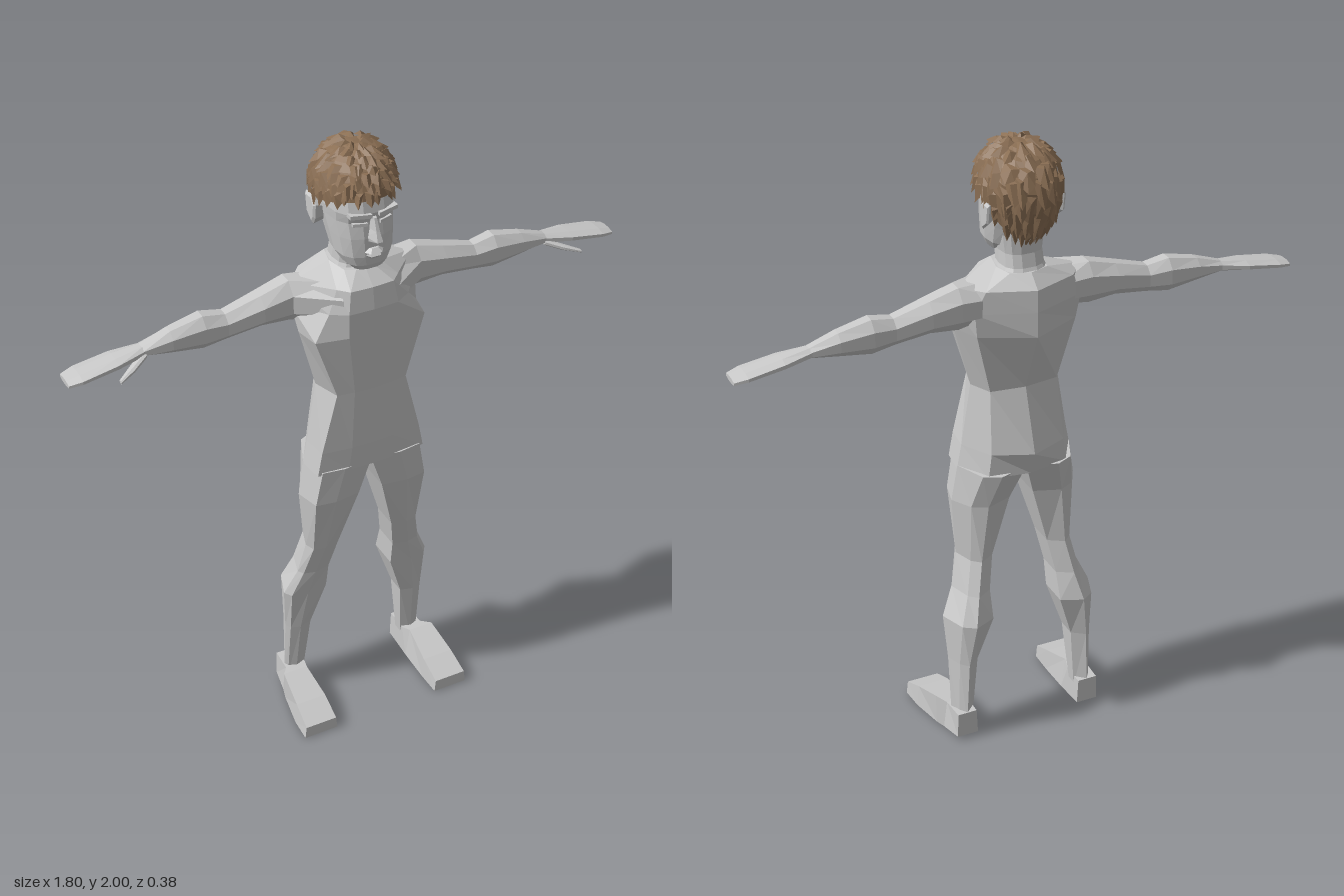
import * as THREE from 'three';

const skin = new THREE.MeshStandardMaterial({ color: 0xc9c9c9 });
skin.name = 'light grey skin';
const brown = new THREE.MeshStandardMaterial({ color: 0x8b6f54, side: THREE.DoubleSide });
brown.name = 'brown hair';

// Flat-shaded geometry from a list of triangles
function facets(tris) {
  const g = new THREE.BufferGeometry();
  g.setAttribute('position', new THREE.Float32BufferAttribute(tris.flat(2), 3));
  g.computeVertexNormals();
  return g;
}

// Closed skin over a row of rings, always wound outwards
function loft(rings) {
  const tris = [];
  const n = rings[0].length;
  for (let r = 0; r + 1 < rings.length; r++) {
    for (let i = 0; i < n; i++) {
      const j = (i + 1) % n, a = rings[r], b = rings[r + 1];
      tris.push([a[i], a[j], b[j]], [a[i], b[j], b[i]]);
    }
  }
  const cap = (ring, flip) => {
    const c = [0, 1, 2].map(k => ring.reduce((s, p) => s + p[k], 0) / n);
    ring.forEach((p, i) => {
      const q = ring[(i + 1) % n];
      tris.push(flip ? [c, q, p] : [c, p, q]);
    });
  };
  cap(rings[0], true);
  cap(rings[rings.length - 1], false);
  const o = rings[0][0];
  let volume = 0;
  for (const t of tris) {
    const [a, b, c] = t.map(p => new THREE.Vector3(p[0] - o[0], p[1] - o[1], p[2] - o[2]));
    volume += a.dot(b.cross(c));
  }
  return facets(volume < 0 ? tris.map(([a, b, c]) => [a, c, b]) : tris);
}

const mirrored = rings => rings.map(ring => ring.map(([x, y, z]) => [-x, y, z]));

export function createModel() {
  const model = new THREE.Group();
  model.name = 'figure';
  const add = (name, geometry, material = skin) => {
    const mesh = new THREE.Mesh(geometry, material);
    mesh.name = name;
    model.add(mesh);
    return mesh;
  };
  const addPair = (name, rings) => {
    add('left' + name, loft(rings));
    add('right' + name, loft(mirrored(rings)));
  };

  // Torso: y, front z, front x, edge x, edge z, side x, side z, rear x, rear z, spine z
  const torso = [
    [1.61, 0.05, 0.03, 0.06, 0.03, 0.075, -0.04, 0.06, -0.1, -0.12],
    [1.57, 0.095, 0.07, 0.1, 0.06, 0.2, -0.04, 0.14, -0.11, -0.163],
    [1.5, 0.105, 0.08, 0.13, 0.07, 0.205, -0.03, 0.17, -0.1, -0.165],
    [1.42, 0.105, 0.08, 0.18, 0.08, 0.195, 0, 0.16, -0.09, -0.165],
    [1.22, 0.1, 0.06, 0.115, 0.088, 0.143, 0, 0.11, -0.07, -0.085],
    [1.02, 0.102, 0.07, 0.165, 0.085, 0.175, 0, 0.12, -0.1, -0.15],
    [0.94, 0.1, 0.08, 0.18, 0.085, 0.19, 0, 0.13, -0.1, -0.12],
  ].map(([y, zf, xf, xe, ze, xs, zs, xb, zr, zb]) => {
    const half = [[xf, y, zf - 0.004], [xe, y, ze], [xs, y, zs], [xb, y, zr]];
    const other = half.map(([x, , z]) => [-x, y, z]).reverse();
    return [[0, y, zf], ...half, [0, y, zb], ...other];
  });
  add('torso', loft(torso));

  // Legs: y, inner x, outer x, front z, side z, back z
  addPair('Leg', [
    [0.95, 0, 0.189, 0.1, 0, -0.122],
    [0.83, 0.04, 0.208, 0.095, 0.005, -0.085],
    [0.63, 0.095, 0.192, 0.058, 0.015, -0.075],
    [0.52, 0.115, 0.215, 0.03, 0, -0.1],
    [0.43, 0.117, 0.255, 0.015, -0.02, -0.13],
    [0.28, 0.165, 0.246, -0.005, -0.035, -0.112],
    [0.06, 0.182, 0.245, -0.032, -0.055, -0.106],
  ].map(([y, xi, xo, zf, zs, zb]) => {
    const w = xo - xi, m = (xi + xo) / 2;
    return [
      [xi, y, zf - 0.012], [m, y, zf], [xo - w * 0.12, y, zf - 0.01], [xo, y, zs],
      [xo - w * 0.22, y, zb + 0.025], [m, y, zb], [xi, y, zb + 0.03],
    ];
  }));

  // Feet: z, bottom y, top y, bottom inner/outer x, top inner/outer x
  addPair('Foot', [
    [-0.109, 0.015, 0.1, 0.178, 0.248, 0.182, 0.246],
    [-0.03, 0.008, 0.1, 0.178, 0.262, 0.182, 0.25],
    [0.005, 0.006, 0.11, 0.177, 0.272, 0.192, 0.274],
    [0.12, 0.002, 0.075, 0.177, 0.292, 0.183, 0.285],
    [0.2, 0, 0.042, 0.18, 0.295, 0.184, 0.29],
  ].map(([z, y0, y1, a, b, c, d]) => [[a, y0, z], [b, y0, z], [d, y1, z], [c, y1, z]]));

  // Arms and hands: x, top y, bottom y, front z, back z
  const limbRing = ([x, t, b, f, k]) => {
    const y = s => b + (t - b) * s, z = s => k + (f - k) * s;
    return [[1, 0.3], [1, 0.7], [0.72, 1], [0.28, 1], [0, 0.7], [0, 0.3], [0.28, 0], [0.72, 0]]
      .map(([v, u]) => [x, y(v), z(u)]);
  };
  addPair('Arm', [
    [0.09, 1.575, 1.46, 0.085, -0.11],
    [0.21, 1.583, 1.45, 0.002, -0.105],
    [0.3, 1.557, 1.457, 0, -0.1],
    [0.41, 1.526, 1.442, -0.012, -0.09],
    [0.48, 1.539, 1.432, -0.01, -0.098],
    [0.58, 1.517, 1.445, -0.018, -0.09],
    [0.67, 1.487, 1.457, -0.03, -0.08],
  ].map(limbRing));
  addPair('Hand', [
    [0.66, 1.489, 1.457, -0.03, -0.08],
    [0.75, 1.476, 1.449, -0.013, -0.098],
    [0.86, 1.457, 1.435, -0.01, -0.1],
    [0.9, 1.447, 1.43, -0.02, -0.09],
  ].map(limbRing));
  addPair('Thumb', [
    [0.66, 1.474, 1.456, -0.025, -0.055],
    [0.71, 1.457, 1.439, 0.004, -0.026],
    [0.76, 1.44, 1.43, 0.025, 0.01],
  ].map(limbRing));

  // Head and neck: y, half width, front z, back z
  const headRing = ([y, w, f, b]) => Array.from({ length: 14 }, (_, i) => {
    const a = (i + 0.5) / 14 * Math.PI * 2, c = Math.cos(a), s = Math.sin(a);
    const square = v => Math.sign(v) * Math.abs(v) ** 0.75;
    return [w * square(s), y, (f + b) / 2 + (f - b) / 2 * square(c)];
  });
  add('neck', loft([
    [1.59, 0.08, 0.04, -0.125], [1.62, 0.066, 0.03, -0.108],
    [1.66, 0.064, 0.035, -0.098], [1.74, 0.075, 0.04, -0.1],
  ].map(headRing)));
  add('head', loft([
    [1.633, 0.05, 0.09, 0], [1.65, 0.068, 0.097, -0.03], [1.68, 0.085, 0.101, -0.065],
    [1.74, 0.093, 0.1, -0.1], [1.79, 0.099, 0.094, -0.13], [1.82, 0.102, 0.103, -0.14],
    [1.87, 0.1, 0.092, -0.145], [1.92, 0.085, 0.065, -0.125], [1.96, 0.05, 0.02, -0.08],
  ].map(headRing)));

  // Nose: y, half width, tip z
  add('nose', loft([
    [1.808, 0.01, 0.108], [1.77, 0.014, 0.124], [1.742, 0.022, 0.138], [1.727, 0.02, 0.115],
  ].map(([y, w, z]) => [[-w, y, 0.085], [w, y, 0.085], [w * 0.4, y, z], [-w * 0.4, y, z]])));

  // Mouth: y, half width, front z
  const lip = rows => loft(rows.map(([y, w, z]) =>
    [[-w, y, 0.09], [w, y, 0.09], [w * 0.5, y, z], [-w * 0.5, y, z]]));
  add('upperLip', lip([[1.708, 0.02, 0.106], [1.697, 0.036, 0.117], [1.694, 0.034, 0.108]]));
  add('lowerLip', lip([[1.692, 0.034, 0.107], [1.685, 0.03, 0.114], [1.674, 0.02, 0.104]]));

  // Brows, eyelids and ears
  const block = (x0, x1, y0, y1, z0, z1, slope = 0) => [
    [[x0, y0, z0], [x0, y1, z0], [x0, y1, z1], [x0, y0, z1]],
    [[x1, y0 + slope, z0 - 0.012], [x1, y1 + slope, z0 - 0.012],
      [x1, y1 + slope, z1 - 0.012], [x1, y0 + slope, z1 - 0.012]],
  ];
  addPair('Brow', block(0.012, 0.075, 1.811, 1.823, 0.08, 0.112, 0.004));
  addPair('Eyelid', block(0.02, 0.062, 1.781, 1.791, 0.08, 0.101, 0.001));
  addPair('Ear', [[0.09, 0.7, 0], [0.118, 1, -0.012], [0.124, 0.8, -0.014]].map(([x, s, dz]) =>
    [[0.042, -0.035], [0.045, 0.005], [0.02, 0.026], [-0.025, 0.022], [-0.047, 0.01], [-0.02, -0.025]]
      .map(([y, z]) => [x, 1.787 + y * s, -0.045 + dz + z * s])));

  // Hair surface: angle from the front, distance from crown (0) to hem (1), lift
  const scalp = (phi, t, lift = 0) => {
    const c = Math.cos(phi);
    const theta = t * (c > 0 ? 100 - 12 * c : 100 - 50 * c) * Math.PI / 180;
    const ry = theta < Math.PI / 2 ? 0.125 : 0.18;
    return [
      (0.114 + lift) * Math.sin(theta) * Math.sin(phi),
      1.86 + (ry + lift) * Math.cos(theta),
      -0.03 + (0.136 + lift) * Math.sin(theta) * c,
    ];
  };
  const capTris = [];
  const around = 20, down = 7;
  for (let i = 0; i < around; i++) {
    for (let j = 0; j < down; j++) {
      const p = (u, v) => scalp((i + u) / around * Math.PI * 2, (j + v) / down);
      capTris.push([p(0, 0), p(0, 1), p(1, 1)]);
      if (j) capTris.push([p(0, 0), p(1, 1), p(1, 0)]);
    }
  }
  add('hairCap', facets(capTris), brown);

  // Overlapping pointed locks
  let seed = 7;
  const rand = () => (seed = (seed * 16807) % 2147483647) / 2147483647;
  const lockTris = [];
  for (let row = 0; row < 7; row++) {
    const count = 8 + row * 3;
    for (let i = 0; i < count; i++) {
      const phi = (i + rand() * 0.7) / count * Math.PI * 2;
      const t = 0.06 + row * 0.125 + rand() * 0.05;
      const w = 3 / count * (0.8 + rand() * 0.5);
      const end = Math.min(t + 0.17 + rand() * 0.07, 1.05);
      const l = scalp(phi - w, t, 0.003), r = scalp(phi + w, t, 0.003);
      const ridge = scalp(phi, t + 0.04, 0.01 + rand() * 0.006);
      const skew = (rand() - 0.5) * w;
      const tipL = scalp(phi + skew - w * 0.7, end - 0.05, 0.007);
      const tip = scalp(phi + skew, end, 0.012 + rand() * 0.01);
      const tipR = scalp(phi + skew + w * 0.7, end - 0.06, 0.007);
      lockTris.push([l, tipL, ridge], [tipL, tip, ridge], [tip, tipR, ridge], [tipR, r, ridge], [r, l, ridge]);
    }
  }
  add('hairLocks', facets(lockTris), brown);

  return model;
}
